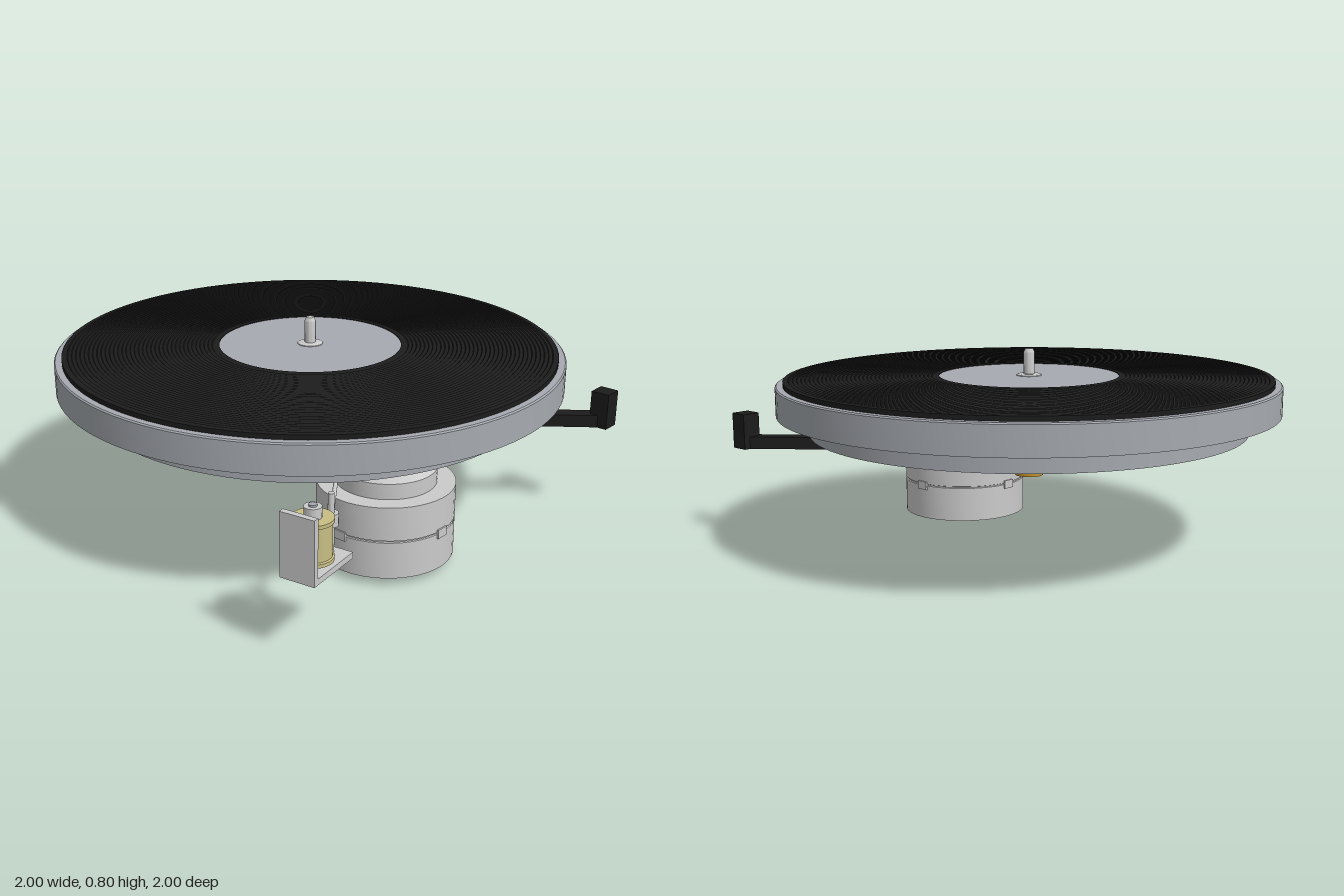
import * as THREE from 'three';
import { toCreasedNormals } from 'three/addons/utils/BufferGeometryUtils.js';

const mat = (name, color) => {
  const m = new THREE.MeshStandardMaterial({ color });
  m.name = name;
  return m;
};

export function createModel() {
  const aluminium = mat('aluminium', 0xa6aab0);
  const steel = mat('light steel', 0xcbcbcb);
  const black = mat('black', 0x1c1c1c);
  const brass = mat('brass', 0xc0902e);
  const khaki = mat('khaki', 0xc8be84);
  const model = new THREE.Group();
  model.name = 'turntableMechanism';

  const add = (parent, name, geo, material, x = 0, y = 0, z = 0) => {
    const m = new THREE.Mesh(geo, material);
    m.name = name;
    m.position.set(x, y, z);
    parent.add(m);
    return m;
  };
  const group = (name, x = 0, z = 0, turn = 0) => {
    const g = new THREE.Group();
    g.name = name;
    g.position.set(x, 0, z);
    g.rotation.y = turn;
    model.add(g);
    return g;
  };
  // Turned part from [radius, y] points, bottom first and counter-clockwise
  const lathe = (parent, name, pts, material, x = 0, z = 0, seg = 32) =>
    add(parent, name, toCreasedNormals(new THREE.LatheGeometry(
      pts.map(p => new THREE.Vector2(p[0], p[1])), seg), 0.45), material, x, 0, z);
  // Upright cylinder between two heights
  const rod = (parent, name, r, y0, y1, material, x = 0, z = 0, seg = 24) =>
    lathe(parent, name, [[0, y0], [r, y0], [r, y1], [0, y1]], material, x, z, seg);
  // Box between two heights
  const box = (parent, name, w, d, y0, y1, material, x = 0, z = 0) =>
    add(parent, name, new THREE.BoxGeometry(w, y1 - y0, d), material, x, (y0 + y1) / 2, z);
  // Ring of n radial bars from r0 to r1
  const radial = (parent, name, n, r0, r1, thick, y0, y1, material, start = 0) => {
    for (let i = 0; i < n; i++) {
      const pivot = new THREE.Group();
      pivot.name = name + 'Pivot';
      pivot.rotation.y = start + i / n * Math.PI * 2;
      parent.add(pivot);
      box(pivot, name, r1 - r0, thick, y0, y1, material, (r0 + r1) / 2);
    }
  };
  // Flat-sided ring
  const ring = (parent, name, r0, r1, y0, y1, material, seg = 72) =>
    lathe(parent, name, [[r0, y1], [r0, y0], [r1, y0], [r1, y1], [r0, y1]], material, 0, 0, seg);

  // Platter: outer rim, channel and inner drive ring
  const platter = group('platter');
  lathe(platter, 'platterBody', [[0, 0.625], [0.85, 0.625], [0.85, 0.475], [0.875, 0.475],
    [0.875, 0.64], [0.975, 0.64], [0.975, 0.555], [1, 0.555], [1, 0.665], [0.995, 0.67], [0, 0.67]],
    aluminium, 0, 0, 96);
  radial(platter, 'rimGusset', 20, 0.873, 0.977, 0.018, 0.565, 0.642, aluminium);
  ring(platter, 'undersidePanel', 0.5, 0.849, 0.617, 0.624, khaki, 96);

  // Ribbed wheel on the underside
  ring(platter, 'wheelOuterRing', 0.5, 0.52, 0.59, 0.626, aluminium);
  ring(platter, 'wheelInnerRing', 0.43, 0.445, 0.595, 0.626, aluminium);
  radial(platter, 'wheelRib', 40, 0.44, 0.505, 0.014, 0.597, 0.626, aluminium);
  radial(platter, 'wheelSpoke', 16, 0.06, 0.435, 0.018, 0.59, 0.626, aluminium, 0.1);
  radial(platter, 'hubFin', 16, 0.03, 0.12, 0.014, 0.565, 0.6, aluminium, 0.1);
  rod(platter, 'hubBoss', 0.085, 0.55, 0.626, aluminium);

  // Grooved record with plain centre
  const grooves = [[0.36, 0.669], [0.97, 0.669], [0.97, 0.688]];
  const count = 36;
  for (let i = 0; i < count; i++) {
    const r = 0.955 - i * 0.575 / count;
    grooves.push([r, 0.69], [r - 0.006, 0.69], [r - 0.009, 0.687]);
  }
  grooves.push([0.36, 0.69], [0.36, 0.669]);
  lathe(platter, 'record', grooves, black, 0, 0, 96);
  rod(platter, 'centreLabel', 0.361, 0.669, 0.687, aluminium, 0, 0, 72);

  // Spindle, shaft and bearing
  lathe(platter, 'spindleWasher', [[0, 0.685], [0.05, 0.685], [0.05, 0.69], [0.04, 0.694], [0, 0.694]], steel);
  lathe(platter, 'spindle', [[0, 0.68], [0.022, 0.68], [0.022, 0.78], [0.015, 0.795], [0, 0.795]], steel);
  rod(platter, 'spindleShaft', 0.045, 0.335, 0.56, aluminium);
  lathe(platter, 'bearingBush', [[0.03, 0.3], [0.03, 0.28], [0.057, 0.28], [0.057, 0.342], [0, 0.342]], brass);
  rod(platter, 'shaftEnd', 0.031, 0.298, 0.33, brass);

  // Motor: open can with shaft, stepped pulley and mounting posts
  const motor = group('motor', -0.16, 0.52);
  lathe(motor, 'motorCan', [[0, 0.298], [0.252, 0.298], [0.252, 0.03], [0.26, 0.03], [0.26, 0.172],
    [0.255, 0.174], [0.255, 0.178], [0.26, 0.18], [0.26, 0.31], [0.19, 0.31], [0.19, 0.37],
    [0.16, 0.4], [0, 0.4]], steel, 0, 0, 48);
  radial(motor, 'canTab', 4, 0.252, 0.265, 0.05, 0.155, 0.19, steel);
  rod(motor, 'motorShaft', 0.014, 0.02, 0.58, steel);
  lathe(motor, 'shaftBearing', [[0, 0], [0.03, 0], [0.05, 0.03], [0.05, 0.036], [0, 0.045]], steel);
  lathe(motor, 'pulley', [[0, 0.44], [0.032, 0.44], [0.032, 0.475], [0.025, 0.485], [0.03, 0.495],
    [0.03, 0.51], [0.02, 0.52], [0.024, 0.53], [0.024, 0.545], [0.016, 0.555], [0.016, 0.575],
    [0, 0.575]], brass);
  for (let i = 0; i < 4; i++) {
    const a = i * Math.PI / 2, x = Math.cos(a) * 0.082, z = Math.sin(a) * 0.082;
    rod(motor, 'mountPost', 0.008, 0.395, 0.46, steel, x, z, 12);
    rod(motor, 'mountPostHead', 0.016, 0.452, 0.468, steel, x, z, 12);
  }

  // Idler wheel between pulley and drive ring
  const idler = group('idler', -0.4, 0.49);
  lathe(idler, 'idlerWheel', [[0, 0.568], [0.07, 0.568], [0.075, 0.56], [0.19, 0.56], [0.2, 0.566],
    [0.2, 0.58], [0.19, 0.585], [0, 0.585]], aluminium, 0, 0, 48);
  rod(idler, 'idlerHub', 0.035, 0.53, 0.57, steel);
  rod(idler, 'idlerAxle', 0.014, 0.43, 0.55, steel);
  rod(idler, 'idlerCollar', 0.024, 0.445, 0.478, steel);

  // Bracket carrying the coil and the pivot rod
  const bracket = group('bracket', -0.82, 0.76, 0.16);
  box(bracket, 'bracketBase', 0.235, 0.13, 0.288, 0.31, steel);
  box(bracket, 'bracketWall', 0.022, 0.13, 0.288, 0.52, steel, -0.107);
  lathe(bracket, 'coil', [[0, 0.332], [0.07, 0.332], [0.07, 0.345], [0.064, 0.348], [0.064, 0.464],
    [0.07, 0.467], [0.07, 0.48], [0, 0.48]], khaki, -0.025);
  rod(bracket, 'coilCap', 0.03, 0.475, 0.518, steel, -0.025);
  rod(bracket, 'coilCore', 0.014, 0.515, 0.525, aluminium, -0.025);
  rod(bracket, 'coilFoot', 0.02, 0.275, 0.335, steel, -0.025);
  rod(bracket, 'pivotRod', 0.011, 0.285, 0.52, steel, 0.085);
  rod(bracket, 'pivotCollar', 0.025, 0.405, 0.45, steel, 0.085);

  // Thin arm from the pivot rod to the idler
  const arm = new THREE.LineCurve3(new THREE.Vector3(-0.735, 0.432, 0.746), new THREE.Vector3(-0.4, 0.442, 0.49));
  add(model, 'idlerArm', new THREE.TubeGeometry(arm, 1, 0.008, 10), steel);

  // Black control lever: inner box, bar and finger block
  const turn = -Math.atan2(0.35, 0.28);
  const lever = group('lever', 0.555, 0.745, turn);
  box(lever, 'leverBar', 0.44, 0.06, 0.375, 0.425, black);
  box(lever, 'leverPost', 0.06, 0.06, 0.42, 0.47, black, -0.19);
  const inner = group('leverInner', 0.35, 0.47, turn);
  box(inner, 'leverBox', 0.31, 0.15, 0.46, 0.55, black);
  box(model, 'leverFinger', 0.075, 0.075, 0.375, 0.52, black, 0.702, 0.932);

  return model;
}
